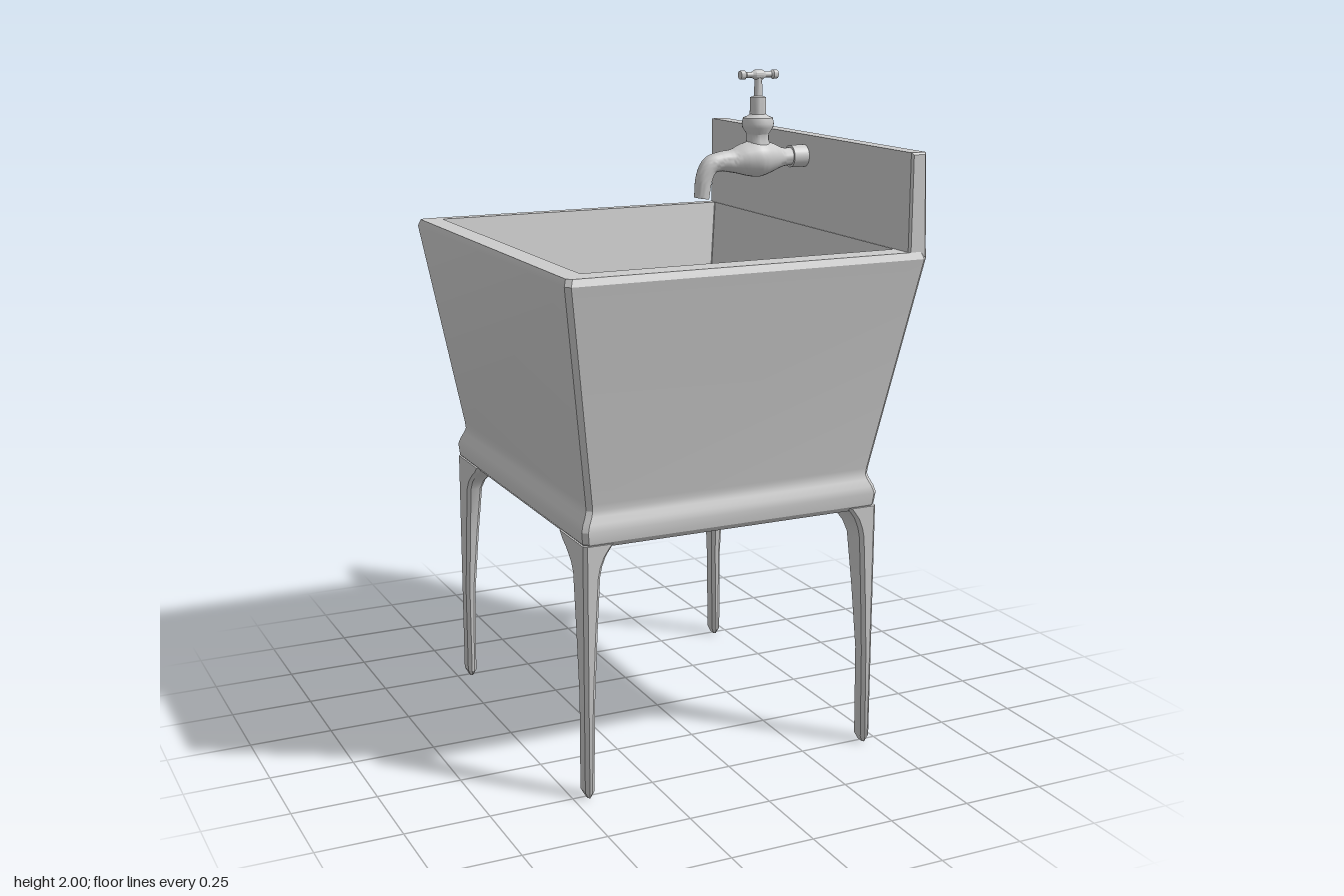
import * as THREE from 'three';
import { toCreasedNormals } from 'three/addons/utils/BufferGeometryUtils.js';

const material = new THREE.MeshStandardMaterial({ color: 0xcccccc });

function addMesh(parent, name, geometry) {
  const mesh = new THREE.Mesh(geometry, material);
  mesh.name = name;
  parent.add(mesh);
  return mesh;
}

// Skin a list of equal-length rings and close both ends.
function loft(rings, crease = 0.5) {
  const n = rings[0].length;
  const pos = [];
  const tri = (...pts) => pts.forEach((p) => pos.push(p.x, p.y, p.z));
  for (let i = 0; i < rings.length - 1; i++) {
    for (let j = 0; j < n; j++) {
      const k = (j + 1) % n;
      const [a, b, c, d] = [rings[i][j], rings[i][k], rings[i + 1][k], rings[i + 1][j]];
      tri(a, b, c);
      tri(a, c, d);
    }
  }
  const first = rings[0], last = rings[rings.length - 1];
  for (let j = 1; j < n - 1; j++) {
    tri(first[0], first[j + 1], first[j]);
    tri(last[0], last[j], last[j + 1]);
  }
  const g = new THREE.BufferGeometry();
  g.setAttribute('position', new THREE.Float32BufferAttribute(pos, 3));
  return toCreasedNormals(g, crease);
}

// Horizontal rectangle with chamfered corners.
function rectRing(y, x0, x1, z0, z1, c) {
  return [
    [x1, z1 - c], [x1, z0 + c], [x1 - c, z0], [x0 + c, z0],
    [x0, z0 + c], [x0, z1 - c], [x0 + c, z1], [x1 - c, z1],
  ].map(([x, z]) => new THREE.Vector3(x, y, z));
}

// Round section of changing radius swept along a path in the xy plane.
function taperedTube(points, steps, sides) {
  const path = new THREE.CatmullRomCurve3(points.map(([x, y]) => new THREE.Vector3(x, y, 0)));
  const radii = new THREE.CatmullRomCurve3(points.map(([, , r], i) => new THREE.Vector3(i, r, 0)));
  const u = new THREE.Vector3(0, 0, 1);
  const rings = [];
  for (let i = 0; i <= steps; i++) {
    const t = i / steps;
    const p = path.getPoint(t), r = radii.getPoint(t).y;
    const v = path.getTangent(t).cross(u).normalize();
    rings.push(Array.from({ length: sides }, (_, j) => {
      const a = (j / sides) * Math.PI * 2;
      return p.clone().addScaledVector(u, r * Math.cos(a)).addScaledVector(v, r * Math.sin(a));
    }));
  }
  return loft(rings, 0.9);
}

function buildBasin(group) {
  // Outer shell: y, half width, half depth
  const outer = [
    [0.745, 0.455, 0.515], [0.76, 0.467, 0.527], [0.795, 0.471, 0.531], [0.815, 0.465, 0.526],
    [0.835, 0.455, 0.518], [0.85, 0.45, 0.513], [0.87, 0.452, 0.515],
    [1.5, 0.553, 0.628], [1.52, 0.546, 0.62],
  ].map(([y, x, z]) => rectRing(y, -x, x, -z, z, 0.014));
  // Inner walls down to the floor
  const inner = [
    rectRing(1.52, -0.48, 0.49, -0.583, 0.545, 0.002),
    rectRing(0.955, -0.4, 0.415, -0.495, 0.457, 0.002),
  ];
  addMesh(group, 'basin', loft([...outer, ...inner]));
}

function buildBacksplash(group) {
  const shape = new THREE.Shape([
    [0.493, 1.5], [0.553, 1.5], [0.551, 1.54], [0.541, 1.8], [0.493, 1.8],
  ].map(([x, y]) => new THREE.Vector2(x, y)));
  const b = 0.006;
  const g = new THREE.ExtrudeGeometry(shape, {
    depth: 1.24 - 2 * b, bevelEnabled: true, bevelSize: b, bevelThickness: b, bevelOffset: -b, bevelSegments: 1,
  });
  g.translate(0, 0, -0.62 + b);
  addMesh(group, 'backsplash', g);
}

function buildLegs(group) {
  // y, inner x, inner z, outer inset
  const profile = [
    [0, 0.45, 0.484, 0.01], [0.02, 0.441, 0.473, 0], [0.3, 0.436, 0.474, 0],
    [0.5, 0.427, 0.455, 0], [0.66, 0.418, 0.437, 0], [0.69, 0.412, 0.42, 0],
    [0.72, 0.4, 0.385, 0], [0.735, 0.39, 0.36, 0], [0.755, 0.375, 0.34, 0],
  ];
  for (const [sx, side] of [[1, 'Left'], [-1, 'Right']]) {
    for (const [sz, end] of [[1, 'front'], [-1, 'back']]) {
      const rings = profile.map(([y, xi, zi, inset]) => {
        const xs = [sx * xi, sx * (0.469 - inset)].sort((a, b) => a - b);
        const zs = [sz * zi, sz * (0.529 - inset)].sort((a, b) => a - b);
        return rectRing(y, ...xs, ...zs, inset ? 0.005 : 0.01);
      });
      addMesh(group, `${end}${side}Leg`, loft(rings));
    }
  }
}

function buildFaucet(group) {
  const faucet = new THREE.Group();
  faucet.name = 'faucet';
  faucet.position.z = 0.014;
  group.add(faucet);

  // Swelling body that bends down into the spout
  addMesh(faucet, 'spout', taperedTube([
    [0.5, 1.735, 0.028], [0.45, 1.735, 0.027], [0.415, 1.734, 0.029], [0.375, 1.735, 0.045],
    [0.33, 1.735, 0.057], [0.285, 1.733, 0.049], [0.245, 1.73, 0.036], [0.205, 1.73, 0.03],
    [0.17, 1.72, 0.028], [0.15, 1.685, 0.026], [0.141, 1.622, 0.023],
  ], 60, 24));

  // Wall fitting that passes through the backsplash
  const pipe = addMesh(faucet, 'wallPipe', new THREE.CylinderGeometry(0.034, 0.034, 0.105, 24));
  pipe.rotation.z = Math.PI / 2;
  pipe.position.set(0.4955, 1.735, 0);

  // Bonnet, packing nut and stem
  const bonnet = new THREE.LatheGeometry([
    [0, 1.76], [0.042, 1.76], [0.034, 1.79], [0.034, 1.808], [0.047, 1.828], [0.049, 1.84],
    [0.045, 1.857], [0.032, 1.862], [0.025, 1.868], [0.024, 1.918], [0.013, 1.922], [0.011, 1.985], [0, 1.985],
  ].map(([r, y]) => new THREE.Vector2(r, y)), 24);
  addMesh(faucet, 'bonnet', toCreasedNormals(bonnet, 0.6)).position.x = 0.33;

  // Cross handle
  const handle = new THREE.Group();
  handle.name = 'handle';
  handle.position.set(0.33, 1.985, 0);
  faucet.add(handle);
  const bar = new THREE.LatheGeometry([
    [0, -0.063], [0.013, -0.063], [0.014, -0.048], [0.009, -0.042], [0.009, -0.022], [0.015, -0.012],
    [0.015, 0.012], [0.009, 0.022], [0.009, 0.042], [0.014, 0.048], [0.013, 0.063], [0, 0.063],
  ].map(([r, y]) => new THREE.Vector2(r, y)), 16);
  addMesh(handle, 'handleBar', toCreasedNormals(bar, 0.6)).rotation.z = Math.PI / 2;
}

export function createModel() {
  const group = new THREE.Group();
  group.name = 'laundrySink';
  buildBasin(group);
  buildBacksplash(group);
  buildLegs(group);
  buildFaucet(group);
  return group;
}
